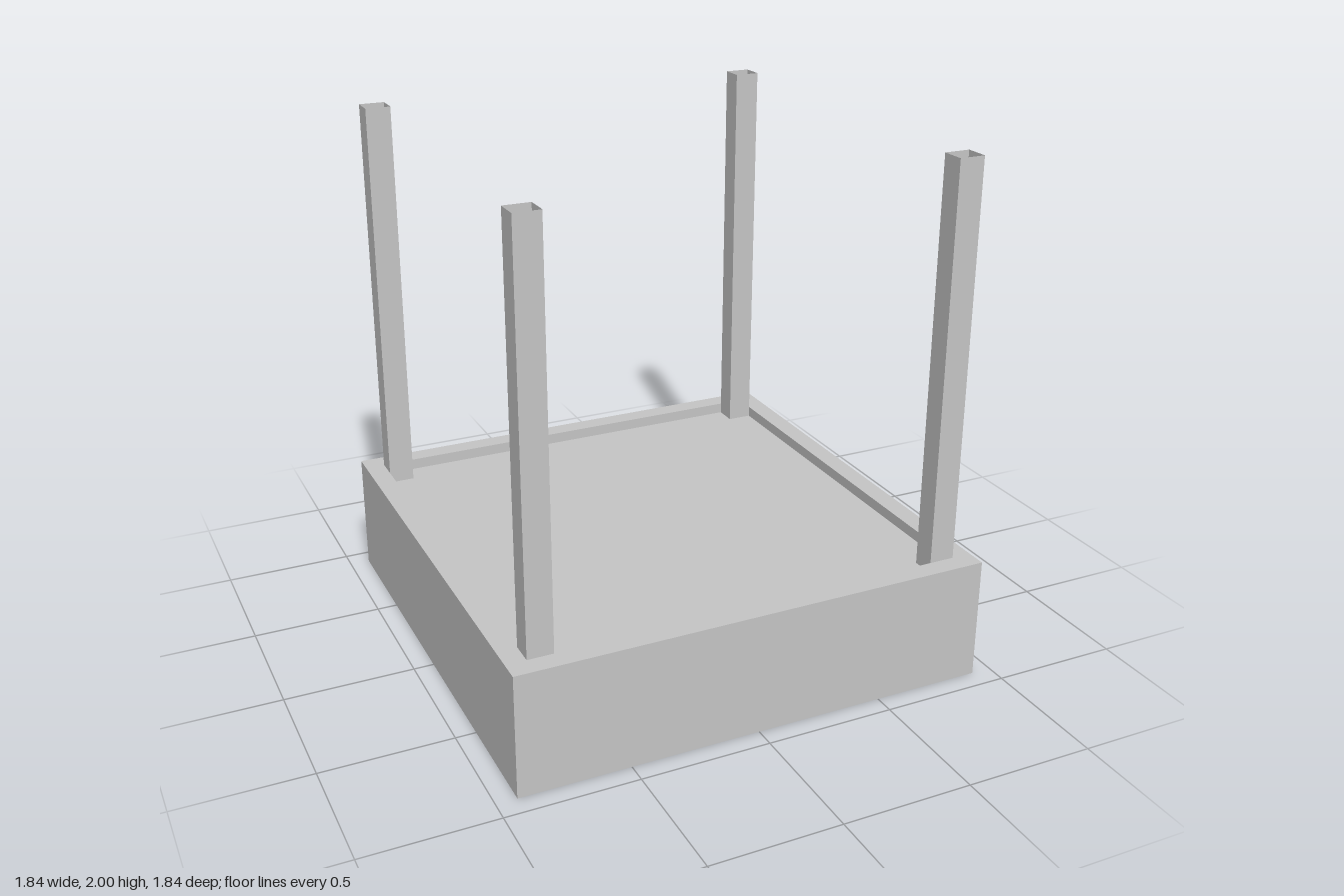
import * as THREE from 'three';

const OUTER = 0.922, INNER = 0.845, HEIGHT = 0.475, RECESS = 0.043, TOP = 2;
const POST_W = 0.098, POST_D = 0.09;

function square(Type, h) {
  const s = new Type();
  s.moveTo(-h, -h);
  s.lineTo(h, -h);
  s.lineTo(h, h);
  s.lineTo(-h, h);
  s.closePath();
  return s;
}

// Thin square tube, open at both ends
function openTube(w, h, d) {
  const geo = new THREE.CylinderGeometry(Math.SQRT1_2, Math.SQRT1_2, 1, 4, 1, true).toNonIndexed();
  geo.rotateY(Math.PI / 4);
  geo.scale(w, h, d);
  geo.computeVertexNormals();
  return geo;
}

export function createModel() {
  const model = new THREE.Group();
  const grey = new THREE.MeshStandardMaterial({ color: 0xc4c4c4, side: THREE.DoubleSide });
  grey.name = 'lightGrey';

  const add = (geo, name, x, y, z) => {
    const mesh = new THREE.Mesh(geo, grey);
    mesh.name = name;
    mesh.position.set(x, y, z);
    model.add(mesh);
  };

  // Square apron around the panel
  const shape = square(THREE.Shape, OUTER);
  shape.holes.push(square(THREE.Path, INNER));
  const frame = new THREE.ExtrudeGeometry(shape, { depth: HEIGHT, bevelEnabled: false });
  frame.rotateX(-Math.PI / 2);
  add(frame, 'frame', 0, 0, 0);

  // Panel set back from both rims
  const panelH = HEIGHT - 2 * RECESS;
  add(new THREE.BoxGeometry(2 * INNER, panelH, 2 * INNER), 'panel', 0, HEIGHT / 2, 0);

  // Hollow posts standing in the inner corners
  const base = HEIGHT - RECESS;
  const post = openTube(POST_W, TOP - base, POST_D);
  for (const sx of [-1, 1]) {
    for (const sz of [-1, 1]) {
      const name = (sz > 0 ? 'front' : 'back') + (sx > 0 ? 'Left' : 'Right') + 'Post';
      add(post, name, sx * (INNER - POST_W / 2), (base + TOP) / 2, sz * (INNER - POST_D / 2));
    }
  }
  return model;
}
